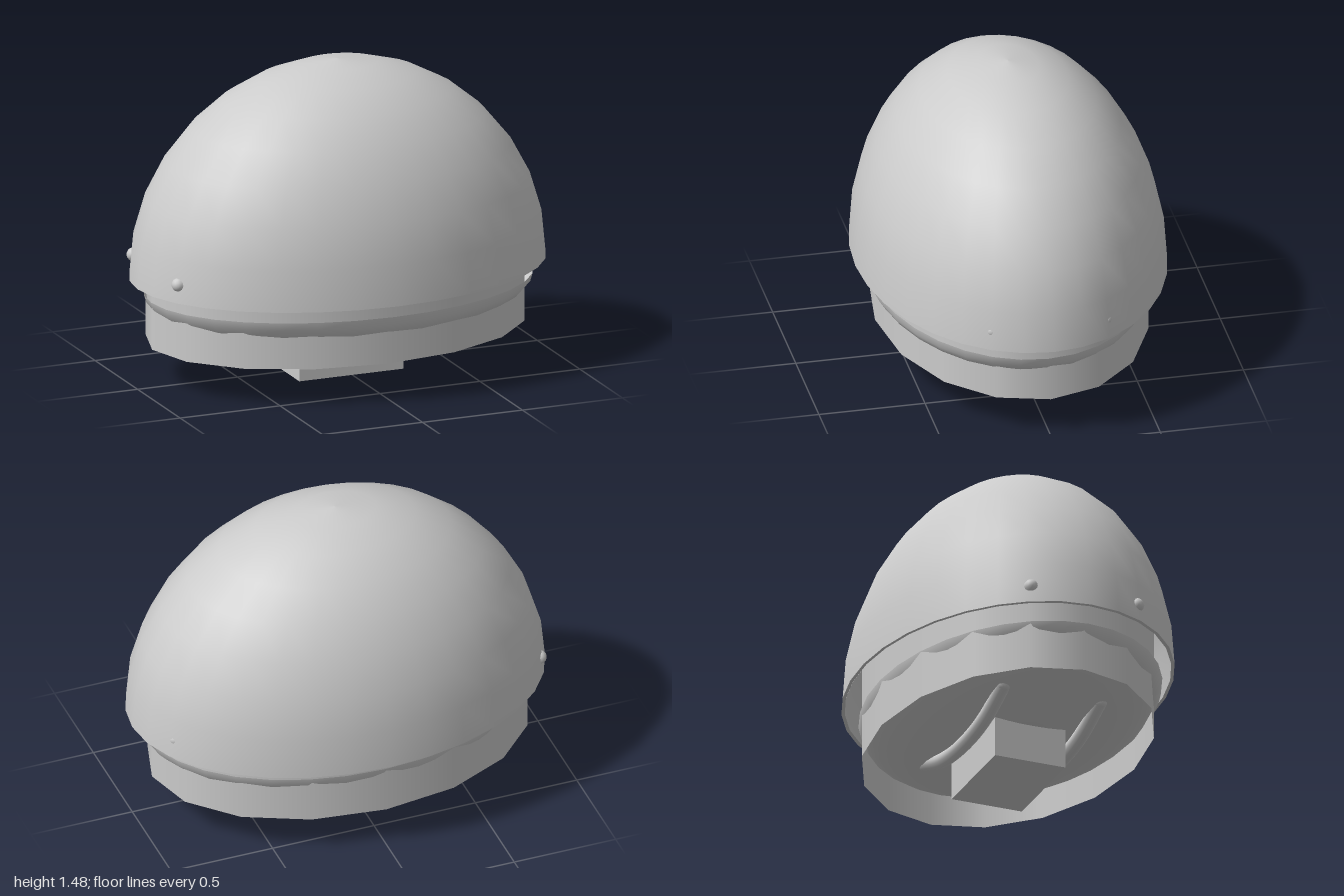
import * as THREE from 'three';

const material = new THREE.MeshStandardMaterial({ color: 0xcccccc, side: THREE.DoubleSide });

function add(parent, name, geometry, x = 0, y = 0, z = 0) {
  const mesh = new THREE.Mesh(geometry, material);
  mesh.name = name;
  mesh.position.set(x, y, z);
  parent.add(mesh);
  return mesh;
}

// Quarter-ellipse profile from the rim to the pole, revolved into an oval shell
function ovalShell(rx, height, rz, rings, sides) {
  const points = [];
  for (let i = 0; i <= rings; i++) {
    const a = (i / rings) * Math.PI / 2;
    points.push(new THREE.Vector2(i === rings ? 0 : Math.cos(a), Math.sin(a) * height));
  }
  return new THREE.LatheGeometry(points, sides).scale(rx, 1, rz);
}

export function createModel() {
  const model = new THREE.Group();
  model.name = 'domedHead';

  // Hollow dome: outer skin, inner skin and the flat lip joining them
  const dome = new THREE.Group();
  dome.name = 'dome';
  dome.position.y = 0.48;
  model.add(dome);
  add(dome, 'domeOuter', ovalShell(1, 0.995, 0.72, 8, 32));
  add(dome, 'domeInner', ovalShell(0.98, 0.975, 0.705, 8, 32));
  const lip = [new THREE.Vector2(0.98, 0), new THREE.Vector2(1, 0)];
  add(dome, 'domeLip', new THREE.LatheGeometry(lip, 32).scale(1, 1, 0.72));

  // Oval band under the dome, open at both ends
  const band = new THREE.CylinderGeometry(1, 1, 0.57, 16, 1, true).scale(0.915, 1, 0.63);
  add(model, 'band', band, -0.01, 0.465, -0.005);

  // Shallow bowl closing the band, its rim just breaking through the wall
  add(model, 'bowl', ovalShell(0.937, -0.24, 0.65, 10, 32), 0, 0.412, 0.012);

  // Neck block
  add(model, 'neck', new THREE.BoxGeometry(0.52, 0.25, 0.35), -0.005, 0.125, 0);

  // Two sagging rounded bars beneath the bowl
  const path = new THREE.CatmullRomCurve3(
    [[-0.5, 0.25], [-0.27, 0.173], [-0.03, 0.15], [0.21, 0.173], [0.44, 0.25]]
      .map(([x, y]) => new THREE.Vector3(x, y, 0)));
  for (const z of [0.25, -0.23]) {
    const bar = new THREE.Group();
    bar.name = z > 0 ? 'frontBar' : 'backBar';
    bar.position.z = z;
    model.add(bar);
    add(bar, 'barTube', new THREE.TubeGeometry(path, 24, 0.035, 12));
    for (const t of [0, 1]) {
      add(bar, 'barEnd', new THREE.SphereGeometry(0.035, 12, 8)).position.copy(path.getPoint(t));
    }
  }

  // Pins through the sides of the dome
  for (const side of [-1, 1]) {
    for (const z of [-0.265, 0.265]) {
      const pin = new THREE.CapsuleGeometry(0.033, 0.03, 4, 12).rotateZ(Math.PI / 2);
      add(model, side > 0 ? 'leftPin' : 'rightPin', pin, side > 0 ? 0.87 : -0.892, 0.565, z);
    }
  }

  return model;
}
